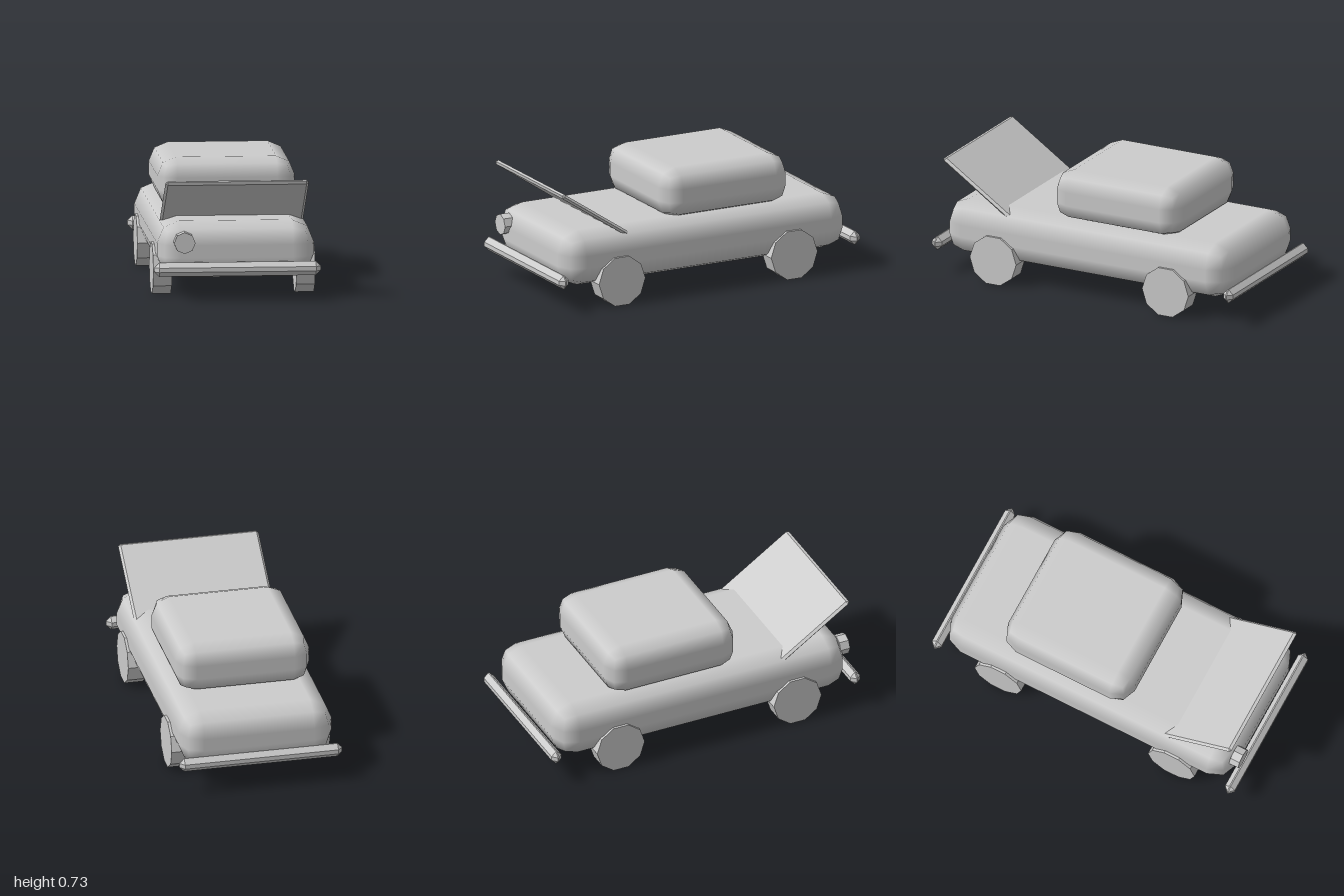
import * as THREE from 'three';
import { RoundedBoxGeometry } from 'three/addons/geometries/RoundedBoxGeometry.js';
import { ConvexGeometry } from 'three/addons/geometries/ConvexGeometry.js';

// Box with a single flat chamfer on every edge
function chamferBox(w, h, d, c) {
  const half = [w / 2, h / 2, d / 2];
  const points = [];
  for (const sx of [-1, 1]) for (const sy of [-1, 1]) for (const sz of [-1, 1]) {
    for (let axis = 0; axis < 3; axis++) {
      const p = half.map((v, i) => (i === axis ? v : v - c));
      points.push(new THREE.Vector3(sx * p[0], sy * p[1], sz * p[2]));
    }
  }
  return new ConvexGeometry(points);
}

// Faceted cylinder
function facetedCylinder(radius, length, sides) {
  const g = new THREE.CylinderGeometry(radius, radius, length, sides).toNonIndexed();
  g.computeVertexNormals();
  return g;
}

export function createModel() {
  const group = new THREE.Group();
  const grey = new THREE.MeshStandardMaterial({ color: 0xcccccc });
  grey.name = 'light grey';

  function add(name, geometry, x, y, z) {
    const mesh = new THREE.Mesh(geometry, grey);
    mesh.name = name;
    mesh.position.set(x, y, z);
    group.add(mesh);
    return mesh;
  }

  // Body and cabin
  add('body', new RoundedBoxGeometry(0.92, 0.334, 1.886, 1, 0.13), 0, 0.287, 0);
  add('cabin', new RoundedBoxGeometry(0.806, 0.302, 0.838, 1, 0.11), 0, 0.583, -0.167);

  // Open hood, hinged at its rear edge
  const hood = add('hood', chamferBox(0.842, 0.028, 0.55, 0.0139), 0, 0.548, 0.724);
  hood.rotation.x = -0.59;

  // Bumpers
  for (const [name, s] of [['frontBumper', 1], ['rearBumper', -1]]) {
    add(name, chamferBox(0.976, 0.083, 0.064, 0.0285), 0, 0.188, s * 0.968);
  }

  // Single headlight on the right
  const lamp = add('headlight', facetedCylinder(0.063, 0.06, 8), -0.31, 0.344, 0.946);
  lamp.rotation.x = Math.PI / 2;

  // Wheels
  for (const [end, z] of [['front', 0.588], ['rear', -0.557]]) {
    for (const [side, s] of [['Left', 1], ['Right', -1]]) {
      const wheel = add(end + side + 'Wheel', facetedCylinder(0.154, 0.11, 10), s * 0.42, 0.1465, z);
      wheel.rotation.z = Math.PI / 2;
    }
  }
  return group;
}
